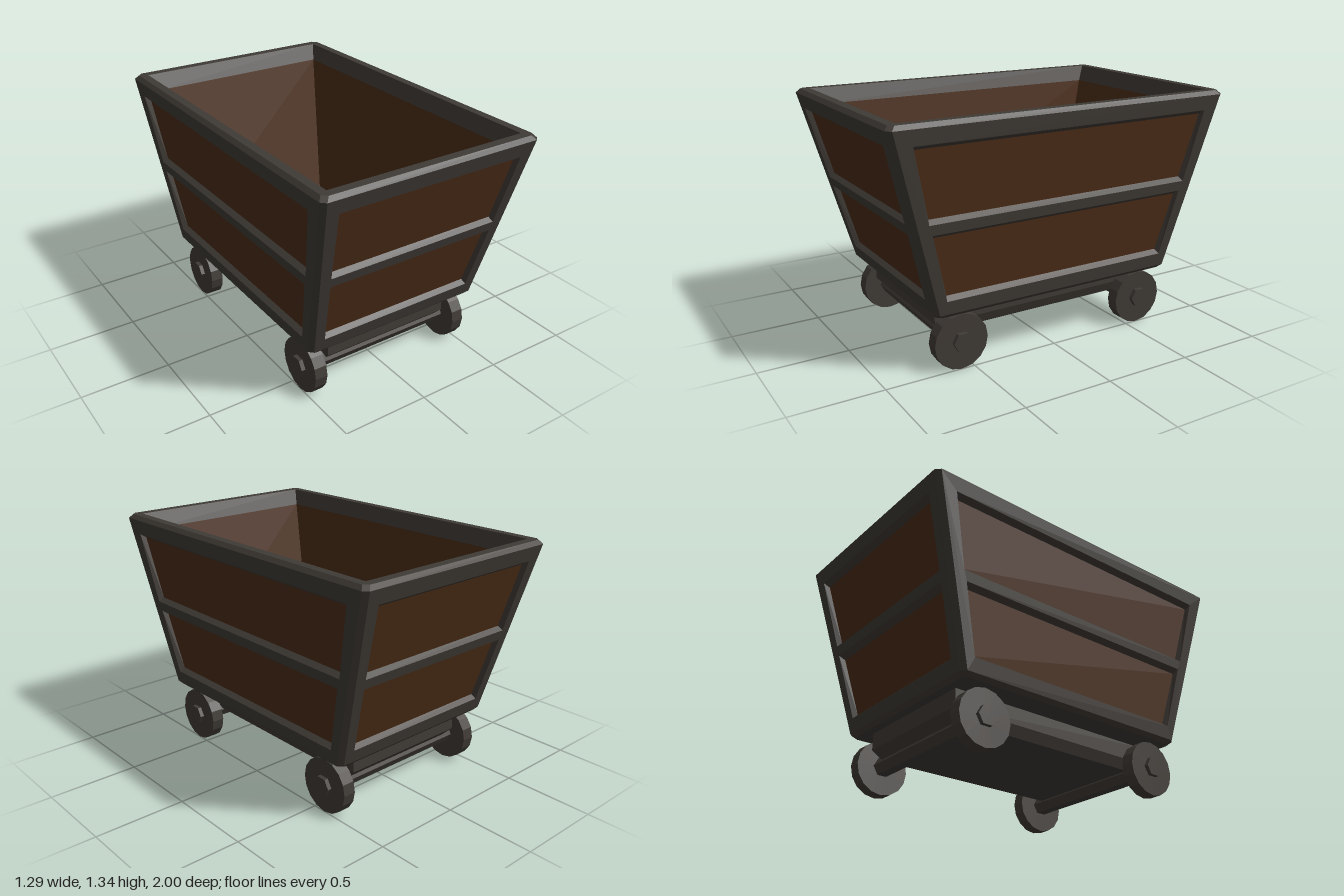
import * as THREE from 'three';

const iron = new THREE.MeshStandardMaterial({ color: 0x3f3a35, flatShading: true });
const wood = new THREE.MeshStandardMaterial({ color: 0x4a2c16, flatShading: true });

// Body tapers from a small bottom to a wide top; half sizes by height
const Y0 = 0.342, Y1 = 1.318, CUT = 0.025;
const halfX = y => 0.542 + (y - Y0) / (Y1 - Y0) * 0.105;
const halfZ = y => 0.738 + (y - Y0) / (Y1 - Y0) * 0.262;

function mesh(name, geometry, material) {
  const m = new THREE.Mesh(geometry, material);
  m.name = name;
  return m;
}

// Flat-shaded geometry from a list of polygons (each a list of Vector3)
function fromPolygons(polygons) {
  const pos = [];
  for (const p of polygons) {
    for (let i = 1; i < p.length - 1; i++) {
      const t = new THREE.Triangle(p[0], p[i], p[i + 1]);
      if (t.getArea() > 1e-8) for (const v of [t.a, t.b, t.c]) pos.push(v.x, v.y, v.z);
    }
  }
  const g = new THREE.BufferGeometry();
  g.setAttribute('position', new THREE.Float32BufferAttribute(pos, 3));
  g.computeVertexNormals();
  return g;
}

// Horizontal rectangle with cut corners, counterclockwise from above
function ring(hx, y, hz, c = CUT) {
  return [[c - hx, hz], [hx - c, hz], [hx, hz - c], [hx, c - hz],
    [hx - c, -hz], [c - hx, -hz], [-hx, c - hz], [-hx, hz - c]]
    .map(([x, z]) => new THREE.Vector3(x, y, z));
}

// Quads joining two rings
function loft(a, b) {
  return a.map((p, i) => {
    const j = (i + 1) % a.length;
    return [p, a[j], b[j], b[i]];
  });
}

// One outer wall: frame with recessed boards; holes are [topHalf, topY, bottomHalf, bottomY]
function wall(name, across, out, holes, turn) {
  const group = new THREE.Group();
  group.name = name;
  const a0 = across(Y0) - CUT, a1 = across(Y1) - CUT;
  const corners = ([wt, yt, wb, yb]) => [[-wb, yb], [wb, yb], [wt, yt], [-wt, yt]];
  const toShape = pts => pts.map(p => new THREE.Vector2(...p));

  const shape = new THREE.Shape(toShape(corners([a1, Y1, a0, Y0])));
  holes.forEach(h => shape.holes.push(new THREE.Path(toShape(corners(h)).reverse())));
  const face = new THREE.ShapeGeometry(shape);
  const pos = face.attributes.position;
  for (let i = 0; i < pos.count; i++) pos.setZ(i, out(pos.getY(i)));
  face.computeVertexNormals();
  group.add(mesh('wallFrame', face, iron));

  for (const h of holes) {
    const [wt, yt, wb, yb] = h;
    const rim = corners(h).map(([x, y]) => new THREE.Vector3(x, y, out(y)));
    const back = corners([wt - 0.01, yt - 0.022, wb - 0.01, yb + 0.022])
      .map(([x, y]) => new THREE.Vector3(x, y, out(y) - 0.03));
    group.add(mesh('recessEdge', fromPolygons(loft(rim, back)), iron));
    group.add(mesh('woodPanel', fromPolygons([back]), wood));
  }
  group.rotation.y = turn;
  return group;
}

export function createModel() {
  const model = new THREE.Group();
  model.name = 'mineCart';

  // Four panelled walls
  const endHoles = [[0.545, 1.237, 0.51, 0.84], [0.505, 0.785, 0.467, 0.415]];
  const sideHoles = [[0.873, 1.237, 0.785, 0.84], [0.765, 0.785, 0.677, 0.415]];
  model.add(
    wall('frontWall', halfX, halfZ, endHoles, 0),
    wall('backWall', halfX, halfZ, endHoles, Math.PI),
    wall('leftWall', halfZ, halfX, sideHoles, Math.PI / 2),
    wall('rightWall', halfZ, halfX, sideHoles, -Math.PI / 2));

  // Bevelled edges, underside and rim of the tub
  const base = ring(0.52, 0.32, 0.716);
  const low = ring(halfX(Y0), Y0, halfZ(Y0));
  const high = ring(halfX(Y1), Y1, halfZ(Y1));
  const top = ring(0.627, 1.34, 0.98);
  const rimInner = ring(0.58, 1.34, 0.93, 0);
  const lip = ring(0.555, 1.25, 0.89, 0);
  model.add(mesh('tubEdges', fromPolygons([
    [...base].reverse(),
    ...loft(base, low),
    ...loft(low, high).filter((q, i) => i % 2),
    ...loft(high, top),
    ...loft(top, rimInner),
    ...loft(rimInner, lip),
  ]), iron));

  // Wooden inside
  const floor = ring(0.465, 0.41, 0.675, 0);
  model.add(mesh('tubInside', fromPolygons([...loft(lip, floor), floor]), wood));

  // Chassis block with bevelled lower edge
  const c0 = ring(0.36, 0.167, 0.61, 0);
  const c1 = ring(0.385, 0.225, 0.668, 0);
  const c2 = ring(0.385, 0.325, 0.668, 0);
  model.add(mesh('chassis', fromPolygons(
    [[...c0].reverse(), ...loft(c0, c1), ...loft(c1, c2), c2]), iron));

  // Hexagonal axles with wheels
  for (const end of [1, -1]) {
    const axleSet = new THREE.Group();
    axleSet.name = end > 0 ? 'frontAxleSet' : 'backAxleSet';
    axleSet.position.set(0, 0.154, end * 0.573);
    const axle = mesh('axle', new THREE.CylinderGeometry(0.055, 0.055, 1.046, 6).rotateZ(Math.PI / 2), iron);
    axle.position.y = 0.004;
    axleSet.add(axle);
    for (const side of [1, -1]) {
      const wheel = mesh(side > 0 ? 'leftWheel' : 'rightWheel',
        new THREE.CylinderGeometry(0.153, 0.153, 0.072, 16).rotateZ(Math.PI / 2), iron);
      wheel.position.x = side * 0.464;
      axleSet.add(wheel);
    }
    model.add(axleSet);
  }
  return model;
}
